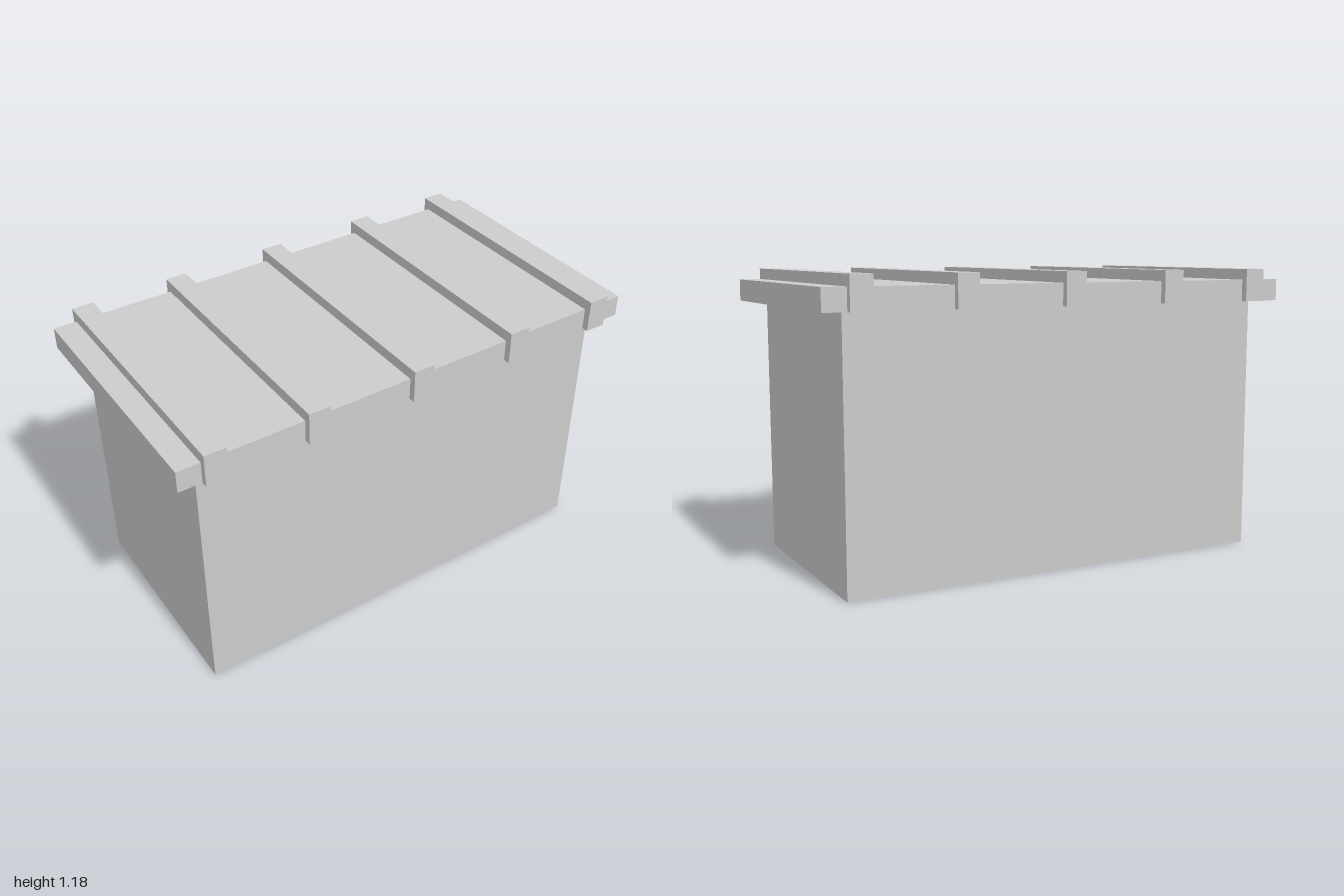
import * as THREE from 'three';

const WIDTH = 1.81, DEPTH = 0.91, WALL_TOP = 1.05;
const LID_TOP = 1.138, BATTEN_TOP = 1.182;

export function createModel() {
  const model = new THREE.Group();
  model.name = 'crate';
  const solid = new THREE.MeshStandardMaterial({ color: 0xcccccc });
  const thin = new THREE.MeshStandardMaterial({ color: 0xcccccc, side: THREE.DoubleSide });

  function slab(name, width, depth, bottom, top, x = 0) {
    const mesh = new THREE.Mesh(new THREE.BoxGeometry(width, top - bottom, depth), solid);
    mesh.name = name;
    mesh.position.set(x, (bottom + top) / 2, 0);
    model.add(mesh);
  }

  // Four thin walls, open underneath
  const walls = new THREE.Group();
  walls.name = 'walls';
  ['frontWall', 'leftWall', 'backWall', 'rightWall'].forEach((name, i) => {
    const side = i % 2 === 1;
    const geometry = new THREE.PlaneGeometry(side ? DEPTH : WIDTH, WALL_TOP);
    geometry.translate(0, WALL_TOP / 2, (side ? WIDTH : DEPTH) / 2);
    const wall = new THREE.Mesh(geometry, thin);
    wall.name = name;
    wall.rotation.y = i * Math.PI / 2;
    walls.add(wall);
  });
  model.add(walls);

  // Overhanging lid
  slab('lid', 2, 1.036, WALL_TOP, LID_TOP);

  // Battens wrapped across the lid
  for (const x of [-0.862, -0.453, 0, 0.453, 0.862]) {
    slab('batten', 0.088, 1.09, WALL_TOP, BATTEN_TOP, x);
  }

  return model;
}
